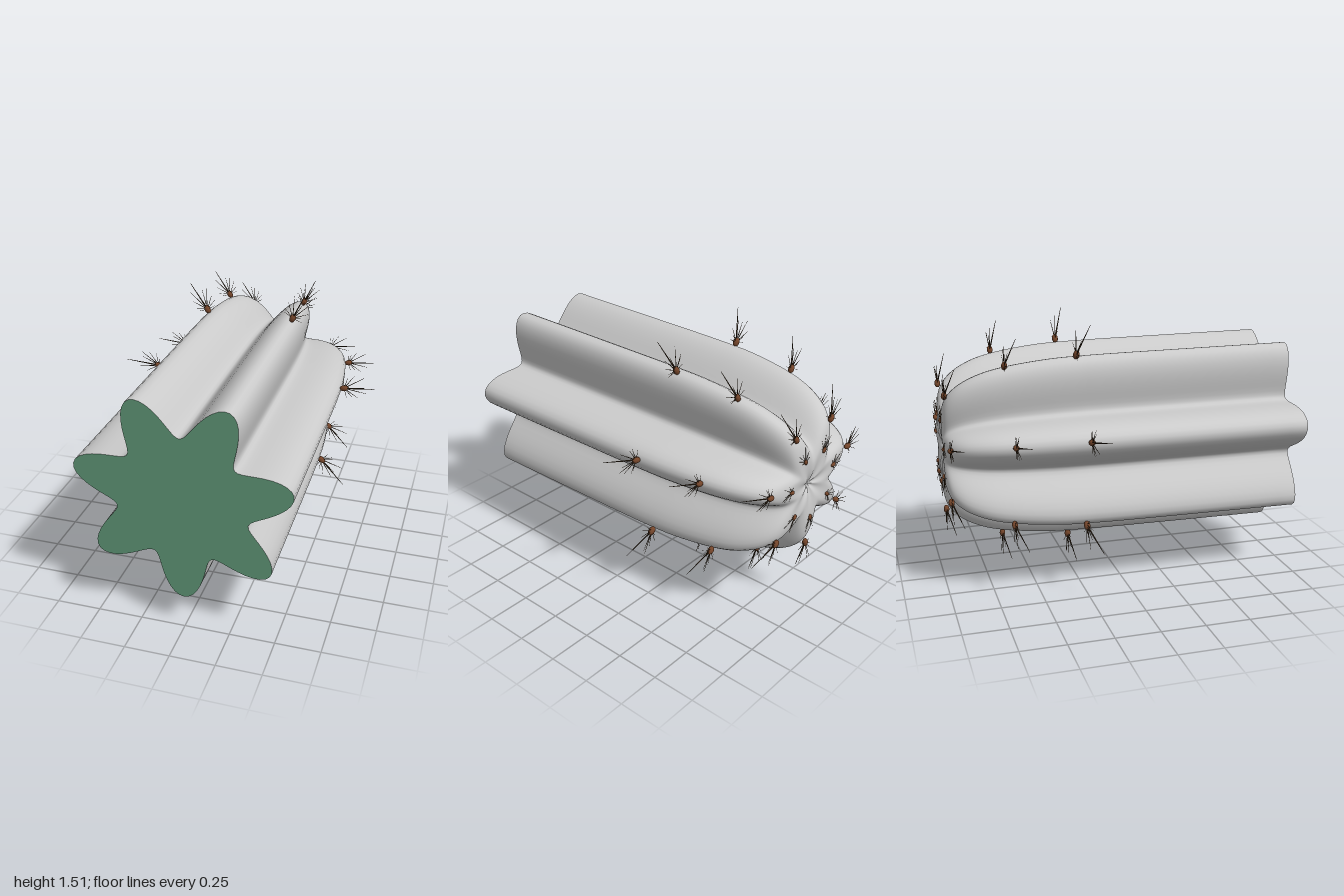
import * as THREE from 'three';

const RIBS = 7, SEG = 140, CY = 0.805;
const ribRadius = (a) => 0.4775 + 0.1175 * Math.cos(RIBS * (a + Math.PI / 2));

// Lengthwise profile: x = z position, y = scale of the cross-section
const profile = new THREE.CatmullRomCurve3([
  [1, 1], [0.4, 0.99], [-0.2, 0.975], [-0.4, 0.957], [-0.65, 0.895], [-0.78, 0.83],
  [-0.89, 0.725], [-0.955, 0.6], [-0.982, 0.45], [-0.985, 0.3], [-0.973, 0.13], [-0.95, 0.001],
].map(([z, s]) => new THREE.Vector3(z, s, 0)));

const grey = new THREE.MeshStandardMaterial({ color: 0xcccccc });
const green = new THREE.MeshStandardMaterial({ color: 0x609878 });
const brown = new THREE.MeshStandardMaterial({ color: 0x74452a });
const dark = new THREE.MeshStandardMaterial({ color: 0x40301f });

function addMesh(parent, name, geometry, material) {
  const mesh = new THREE.Mesh(geometry, material);
  mesh.name = name;
  parent.add(mesh);
  return mesh;
}

// Ribbed skin, lofted ring by ring from the cut end to the dimpled crown
function skinGeometry() {
  const positions = [], index = [];
  const rings = profile.getPoints(66);
  rings.forEach(({ x: z, y: s }, i) => {
    for (let j = 0; j < SEG; j++) {
      const a = (j / SEG) * Math.PI * 2, r = ribRadius(a) * s;
      positions.push(r * Math.cos(a), CY + r * Math.sin(a), z);
      if (i === rings.length - 1) continue;
      const p = i * SEG + j, q = i * SEG + ((j + 1) % SEG);
      index.push(p, p + SEG, q, q, p + SEG, q + SEG);
    }
  });
  const g = new THREE.BufferGeometry();
  g.setAttribute('position', new THREE.Float32BufferAttribute(positions, 3));
  g.setIndex(index);
  g.computeVertexNormals();
  return g;
}

// Flat star-shaped face at the cut end
function cutGeometry() {
  const pts = [];
  for (let j = 0; j < SEG; j++) {
    const a = (j / SEG) * Math.PI * 2, r = ribRadius(a);
    pts.push(new THREE.Vector2(r * Math.cos(a), CY + r * Math.sin(a)));
  }
  return new THREE.ShapeGeometry(new THREE.Shape(pts)).translate(0, 0, 1);
}

// Spines in a cluster: fan angle (degrees), tilt towards +z, length, thickness
const SPINES = [
  [0, 0.3, 0.2, 0.005], [22, -0.03, 0.135, 0.0032], [-22, 0.02, 0.14, 0.0032],
  [8, -0.1, 0.12, 0.003], [43, 0.08, 0.1, 0.0028], [-43, -0.08, 0.1, 0.0028],
  [62, -0.12, 0.075, 0.0025], [-62, 0.12, 0.075, 0.0025],
  [85, 0.1, 0.06, 0.0025], [-85, -0.1, 0.06, 0.0025],
];
const UP = new THREE.Vector3(0, 1, 0);
const spineGeometry = new THREE.CylinderGeometry(0.25, 1, 1, 5).translate(0, 0.5, 0);
const padGeometry = new THREE.SphereGeometry(1, 12, 8);

// Cluster pointing along +y
function spineCluster() {
  const cluster = new THREE.Group();
  cluster.name = 'spineCluster';
  addMesh(cluster, 'spinePad', padGeometry, brown).scale.set(0.018, 0.027, 0.018);
  for (const [deg, tilt, length, thick] of SPINES) {
    const a = THREE.MathUtils.degToRad(deg);
    const dir = new THREE.Vector3(Math.sin(a), Math.cos(a), tilt).normalize();
    const spine = addMesh(cluster, 'spine', spineGeometry, dark);
    spine.scale.set(thick, length, thick);
    spine.quaternion.setFromUnitVectors(UP, dir);
  }
  return cluster;
}

export function createModel() {
  const model = new THREE.Group();
  model.name = 'cactus';
  addMesh(model, 'ribbedStem', skinGeometry(), grey);
  addMesh(model, 'cutFace', cutGeometry(), green);

  // Four clusters along the crest of each rib: distance from axis, z, size
  const rows = [[0.6, -0.255, 1], [0.553, -0.65, 0.92], [0.372, -0.97, 0.9], [0.2, -0.988, 0.65]];
  for (let k = 0; k < RIBS; k++) {
    const a = -Math.PI / 2 + (k / RIBS) * Math.PI * 2;
    for (const [r, z, size] of rows) {
      const cluster = spineCluster();
      cluster.position.set(r * Math.cos(a), CY + r * Math.sin(a), z);
      cluster.rotation.z = a - Math.PI / 2;
      cluster.scale.setScalar(size);
      model.add(cluster);
    }
  }
  return model;
}
